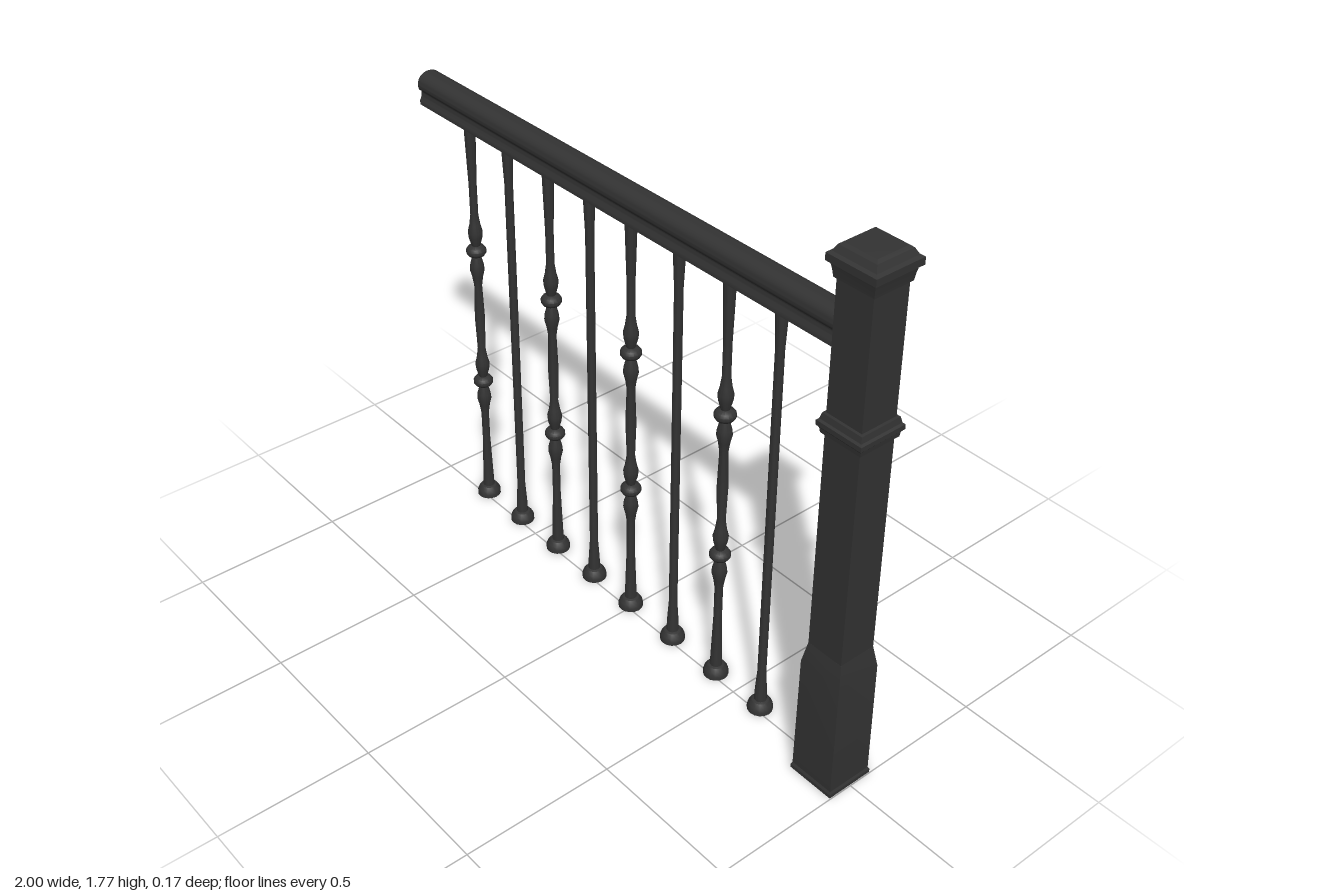
import * as THREE from 'three';
import { toCreasedNormals } from 'three/addons/utils/BufferGeometryUtils.js';

const iron = new THREE.MeshStandardMaterial({ color: 0x333333 });
const RAIL_Z = -0.018;

function add(parent, name, geometry, x = 0, y = 0, z = 0) {
  const mesh = new THREE.Mesh(geometry, iron);
  mesh.name = name;
  mesh.position.set(x, y, z);
  parent.add(mesh);
  return mesh;
}

// Turned solid from [radius, y] pairs, bottom to top
function turned(profile, sides = 16) {
  const geo = new THREE.LatheGeometry(profile.map(([r, y]) => new THREE.Vector2(r, y)), sides);
  return toCreasedNormals(geo, 0.6);
}

// Square solid from [half width, y] pairs, bottom to top
function squared(profile) {
  const points = profile.map(([h, y]) => new THREE.Vector2(h * Math.SQRT2, y));
  return toCreasedNormals(new THREE.LatheGeometry(points, 4, Math.PI / 4), 0.3);
}

function createPost() {
  const post = new THREE.Group();
  post.name = 'newelPost';
  add(post, 'postBase', squared([
    [0, 0], [0.081, 0], [0.081, 0.012], [0.077, 0.02], [0.075, 0.42], [0.063, 0.49], [0, 0.49],
  ]));
  add(post, 'postShaft', squared([[0, 0.4], [0.063, 0.4], [0.062, 1.72], [0, 1.72]]));
  add(post, 'postCollar', squared([
    [0.06, 1.205], [0.071, 1.207], [0.073, 1.222], [0.08, 1.23], [0.08, 1.245],
    [0.074, 1.25], [0.07, 1.268], [0.06, 1.27],
  ]));
  add(post, 'postCap', squared([
    [0.06, 1.665], [0.068, 1.667], [0.071, 1.69], [0.075, 1.708], [0.084, 1.712],
    [0.084, 1.734], [0.074, 1.74], [0.064, 1.758], [0.055, 1.765], [0, 1.768],
  ]));
  return post;
}

// Handrail: rounded grip, narrow waist and flared foot
function railGeometry() {
  const s = new THREE.Shape();
  s.moveTo(-0.038, 1.43);
  s.lineTo(0.038, 1.43);
  s.lineTo(0.038, 1.445);
  s.quadraticCurveTo(0.028, 1.46, 0.031, 1.475);
  s.quadraticCurveTo(0.043, 1.48, 0.042, 1.5);
  s.bezierCurveTo(0.04, 1.525, 0.02, 1.535, 0, 1.535);
  s.bezierCurveTo(-0.02, 1.535, -0.04, 1.525, -0.042, 1.5);
  s.quadraticCurveTo(-0.043, 1.48, -0.031, 1.475);
  s.quadraticCurveTo(-0.028, 1.46, -0.038, 1.445);
  s.closePath();
  const geo = new THREE.ExtrudeGeometry(s, { depth: 1.86, bevelEnabled: false, curveSegments: 8 });
  return toCreasedNormals(geo.rotateY(Math.PI / 2), 0.6);
}

// Ring flanked by two swellings, centred on height c
const knuckle = (c) => [
  [0.013, c - 0.13], [0.018, c - 0.095], [0.024, c - 0.07], [0.022, c - 0.05], [0.014, c - 0.02],
  [0.027, c - 0.014], [0.033, c - 0.005], [0.033, c + 0.005], [0.027, c + 0.014],
  [0.014, c + 0.02], [0.022, c + 0.05], [0.024, c + 0.07], [0.018, c + 0.095], [0.013, c + 0.13],
];

export function createModel() {
  const model = new THREE.Group();
  model.name = 'stairRailing';

  const post = createPost();
  post.position.x = 0.916;
  model.add(post);
  add(model, 'handrail', railGeometry(), -1, 0, RAIL_Z);

  const shoe = turned([
    [0, 0], [0.04, 0], [0.04, 0.012], [0.036, 0.024], [0.027, 0.036], [0.015, 0.04],
  ]);
  const plain = turned([
    [0.02, 0.02], [0.018, 0.08], [0.0135, 0.15], [0.0135, 1.3], [0.017, 1.38], [0.019, 1.435],
  ]);
  const ornate = turned([
    [0.02, 0.02], [0.018, 0.08], [0.013, 0.24],
    ...knuckle(0.475), [0.017, 0.726], ...knuckle(0.98),
    [0.013, 1.22], [0.017, 1.36], [0.019, 1.435],
  ]);

  // Balusters alternate between ornate and plain
  [-0.79, -0.595, -0.395, -0.2, -0.012, 0.195, 0.4, 0.6].forEach((x, i) => {
    const baluster = new THREE.Group();
    baluster.name = i % 2 ? 'plainBaluster' : 'ornateBaluster';
    baluster.position.set(x, 0, RAIL_Z);
    add(baluster, 'balusterShoe', shoe);
    add(baluster, 'balusterShaft', i % 2 ? plain : ornate);
    model.add(baluster);
  });
  return model;
}
